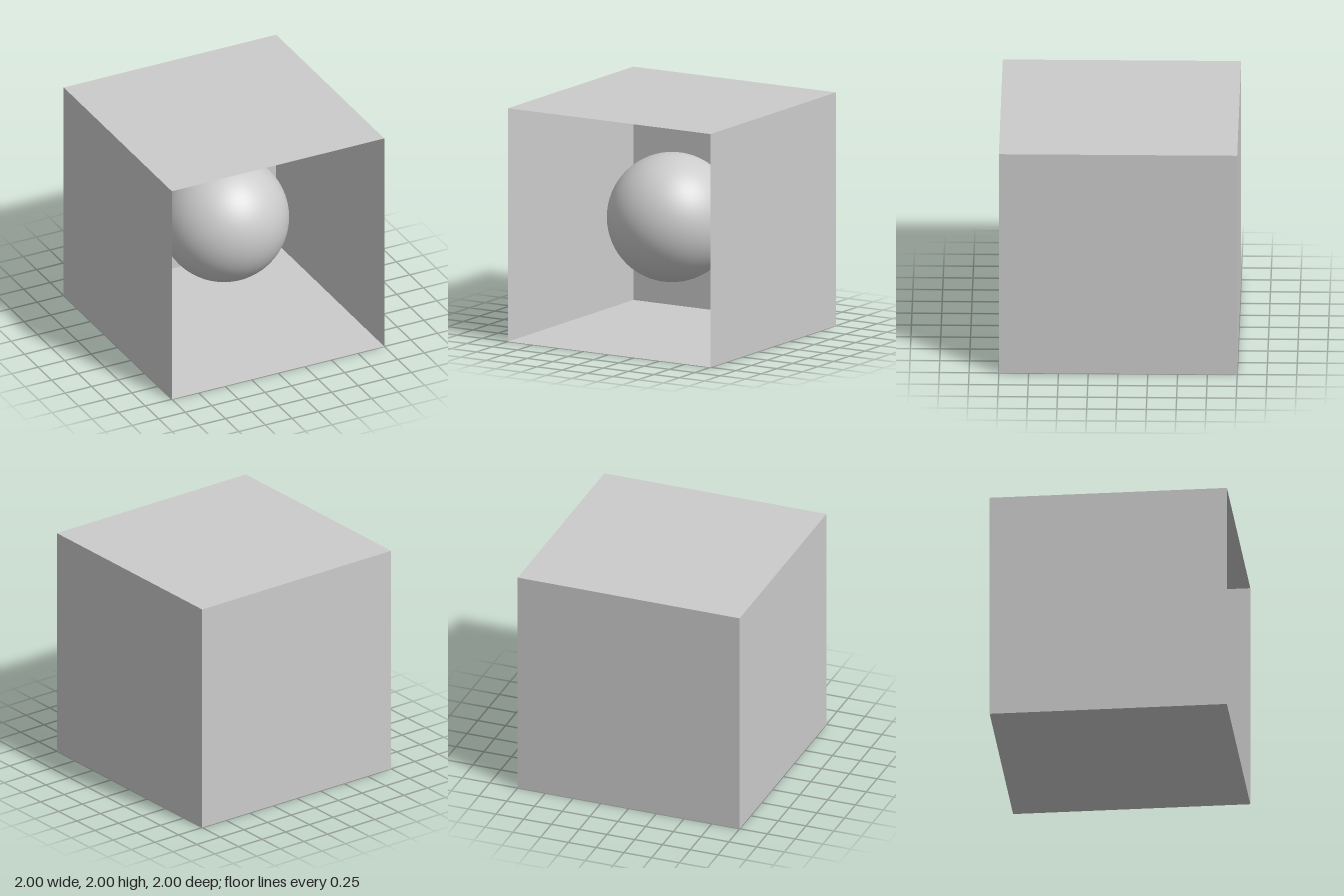
import * as THREE from 'three';

export function createModel() {
  const group = new THREE.Group();
  const wallMaterial = new THREE.MeshStandardMaterial({ color: 0xcccccc, side: THREE.DoubleSide });
  const ballMaterial = new THREE.MeshStandardMaterial({ color: 0xcccccc });
  const panel = new THREE.PlaneGeometry(2, 2);

  // Thin panels of the room, open at the front; each faces inwards
  const addPanel = (name, position, rotation) => {
    const mesh = new THREE.Mesh(panel, wallMaterial);
    mesh.name = name;
    mesh.position.set(...position);
    mesh.rotation.set(...rotation);
    group.add(mesh);
  };
  const q = Math.PI / 2;
  addPanel('floor', [0, 0, 0], [-q, 0, 0]);
  addPanel('ceiling', [0, 2, 0], [q, 0, 0]);
  addPanel('backWall', [0, 1, -1], [0, 0, 0]);
  addPanel('leftWall', [1, 1, 0], [0, -q, 0]);
  addPanel('rightWall', [-1, 1, 0], [0, q, 0]);

  // Ball floating in the middle of the room
  const ball = new THREE.Mesh(new THREE.SphereGeometry(0.547, 64, 32), ballMaterial);
  ball.name = 'ball';
  ball.position.y = 1;
  group.add(ball);

  return group;
}
